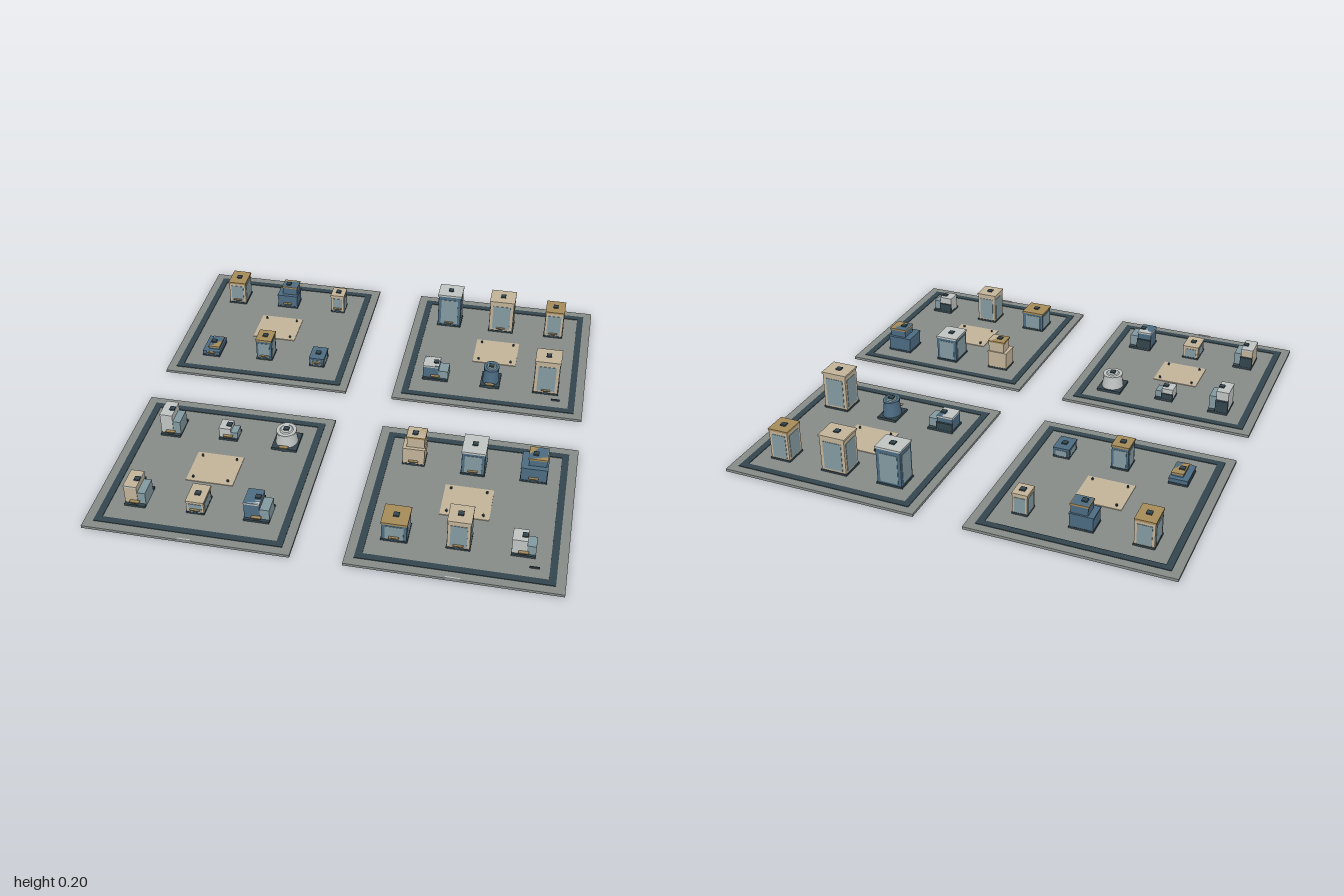
import * as THREE from 'three';

const COLORS = {
  slab: 0x868b88, dark: 0x33454d, blue: 0x4c6b82, glass: 0x839aa1,
  cream: 0xc2b399, gold: 0xa68b59, pale: 0xbfc4c2,
};
const mats = {};
for (const k in COLORS) mats[k] = new THREE.MeshStandardMaterial({ color: COLORS[k], flatShading: true });
const smooth = {};
for (const k of ['blue', 'pale', 'glass']) smooth[k] = new THREE.MeshStandardMaterial({ color: COLORS[k] });

const GROUND = 0.012;

function add(parent, name, geometry, material, x, y, z) {
  const mesh = new THREE.Mesh(geometry, material);
  mesh.name = name;
  mesh.position.set(x, y, z);
  parent.add(mesh);
  return mesh;
}

// Box given by its centre in plan and its bottom height
function box(parent, name, color, w, h, d, x, y, z) {
  return add(parent, name, new THREE.BoxGeometry(w, h, d), mats[color], x, y + h / 2, z);
}

// Walls with a glazed panel on each side
function walls(g, body, w, h, d, x, y, z) {
  box(g, 'walls', body, w, h, d, x, y, z);
  const ph = h * 0.78, py = y + h * 0.1, t = 0.004;
  for (const s of [-1, 1]) {
    box(g, 'windowPanel', 'glass', w * 0.74, ph, t, x, py, z + s * d / 2);
    box(g, 'windowPanel', 'glass', t, ph, d * 0.74, x + s * w / 2, py, z);
  }
}

function vent(g, x, y, z) {
  box(g, 'roofVent', 'dark', 0.024, 0.006, 0.024, x, y, z);
}

// Door and canopy on the front side
function entrance(g, d) {
  box(g, 'door', 'dark', 0.022, 0.022, 0.004, 0, 0, d / 2 + 0.001);
  box(g, 'canopy', 'gold', 0.042, 0.004, 0.016, 0, 0.023, d / 2 + 0.004);
}

// Building types; h is the height above the paving
const TYPES = {
  tower(g, { w, d, h, body, roof }) {
    box(g, 'plinth', 'dark', w, 0.008, d, 0, 0, 0);
    walls(g, body, w * 0.94, h - 0.008, d * 0.94, 0, 0, 0);
    box(g, 'roof', roof, w, 0.009, d, 0, h - 0.009, 0);
    vent(g, 0, h, 0);
    entrance(g, d * 0.94);
  },
  tiered(g, { w, d, h, low, body, roof, uw, ud, ux = 0, uz = 0 }) {
    box(g, 'plinth', 'dark', w, 0.008, d, 0, 0, 0);
    box(g, 'lowerTier', body, w * 0.96, low, d * 0.96, 0, 0, 0);
    box(g, 'terrace', body, w, 0.007, d, 0, low - 0.007, 0);
    box(g, 'upperTier', body, uw * 0.92, h - low, ud * 0.92, ux, low, uz);
    box(g, 'roof', roof, uw, 0.008, ud, ux, h - 0.008, uz);
    vent(g, 0, h, 0);
    entrance(g, d * 0.96);
  },
  winged(g, { w, d, h, body }) {
    const mw = w * 0.64, mx = -w * 0.18;
    box(g, 'plinth', 'dark', w, 0.01, d, 0, 0, 0);
    box(g, 'mainBlock', body, mw * 0.96, h, d * 0.8, mx, 0, 0);
    box(g, 'backPier', 'dark', mw, h * 0.6, d * 0.12, mx, 0, -d * 0.43);
    box(g, 'roof', 'pale', mw, 0.008, d * 0.82, mx, h - 0.008, 0);
    box(g, 'wing', 'glass', w * 0.38, h * 0.68, d * 0.7, w * 0.31, 0, d * 0.03);
    vent(g, 0, h, 0);
    box(g, 'ventFoot', 'dark', 0.02, h * 0.34, 0.02, 0, h * 0.66, 0);
    entrance(g, d * 0.86);
  },
  round(g, { w, d, h, body }) {
    box(g, 'plinth', 'dark', w, 0.012, d, 0, 0, 0);
    const r = w * 0.44, s = d / w;
    const drum = (name, r0, r1, y0, y1, m) =>
      add(g, name, new THREE.CylinderGeometry(r1, r0, y1 - y0, 24), m, 0, (y0 + y1) / 2, 0).scale.z = s;
    drum('drum', r, r * 0.82, 0.012, h - 0.01, smooth[body]);
    drum('domeRim', r * 0.9, r * 0.9, h - 0.012, h - 0.004, smooth[body]);
    drum('domeCap', r * 0.6, r * 0.5, h - 0.004, h, smooth[body === 'blue' ? 'glass' : 'pale']);
    vent(g, 0, h, 0);
    entrance(g, d);
  },
};

const tower = (w, d, h, body, roof) => ({ type: 'tower', w, d, h, body, roof });
const winged = (w, d, h, body) => ({ type: 'winged', w, d, h, body });
const round = (w, d, h, body) => ({ type: 'round', w, d, h, body });
const tiered = (w, d, h, low, body, roof, uw, ud, ux, uz) =>
  ({ type: 'tiered', w, d, h, low, body, roof, uw, ud, ux, uz });

// Six buildings per district: back row then front row, each from -x to +x
const DISTRICTS = [
  { name: 'backRightDistrict', sx: -1, sz: -1, buildings: [
    tower(0.09, 0.115, 0.125, 'cream', 'gold'),
    tiered(0.105, 0.09, 0.115, 0.07, 'blue', 'gold', 0.08, 0.07, 0.01, -0.005),
    tower(0.07, 0.08, 0.1, 'cream', 'cream'),
    tiered(0.085, 0.13, 0.045, 0.028, 'blue', 'gold', 0.055, 0.09, 0.01, 0),
    tower(0.08, 0.09, 0.115, 'blue', 'gold'),
    tower(0.075, 0.1, 0.047, 'blue', 'blue')] },
  { name: 'backLeftDistrict', sx: 1, sz: -1, buildings: [
    tower(0.12, 0.105, 0.182, 'blue', 'pale'),
    tower(0.125, 0.11, 0.178, 'cream', 'cream'),
    tower(0.095, 0.105, 0.15, 'cream', 'gold'),
    winged(0.122, 0.1, 0.075, 'blue'),
    round(0.092, 0.115, 0.09, 'blue'),
    tower(0.122, 0.11, 0.185, 'cream', 'cream')] },
  { name: 'frontRightDistrict', sx: -1, sz: 1, buildings: [
    winged(0.092, 0.125, 0.11, 'pale'),
    winged(0.085, 0.08, 0.06, 'pale'),
    round(0.115, 0.125, 0.078, 'pale'),
    winged(0.092, 0.13, 0.1, 'cream'),
    tower(0.08, 0.115, 0.066, 'cream', 'cream'),
    winged(0.11, 0.115, 0.092, 'blue')] },
  { name: 'frontLeftDistrict', sx: 1, sz: 1, buildings: [
    tiered(0.1, 0.09, 0.146, 0.09, 'cream', 'gold', 0.085, 0.075, 0.006, -0.005),
    tower(0.107, 0.125, 0.127, 'blue', 'pale'),
    tiered(0.118, 0.115, 0.115, 0.075, 'blue', 'gold', 0.085, 0.085, 0.012, -0.005),
    tower(0.112, 0.115, 0.098, 'blue', 'gold'),
    tower(0.1, 0.105, 0.152, 'cream', 'cream'),
    winged(0.1, 0.085, 0.082, 'pale')] },
];

// Square loop road, a thin extruded frame
function roadGeometry() {
  const square = (r, Type) => new Type([[-r, -r], [r, -r], [r, r], [-r, r]].map(p => new THREE.Vector2(...p)));
  const shape = square(0.406, THREE.Shape);
  shape.holes.push(square(0.376, THREE.Path));
  return new THREE.ExtrudeGeometry(shape, { depth: 0.003, bevelEnabled: false }).rotateX(-Math.PI / 2);
}

function district({ name, sx, sz, buildings }) {
  const g = new THREE.Group();
  g.name = name;
  g.position.set(sx * 0.555, 0, sz * 0.555);
  box(g, 'slab', 'slab', 0.89, GROUND, 0.89, 0, 0, 0);
  add(g, 'loopRoad', roadGeometry(), mats.dark, 0, GROUND, 0);

  // Central plaza with corner posts
  box(g, 'plaza', 'cream', 0.21, 0.003, 0.19, 0, GROUND, -0.008);
  for (const x of [-0.078, 0.078]) for (const z of [-0.08, 0.064]) {
    add(g, 'plazaPost', new THREE.CylinderGeometry(0.005, 0.005, 0.012, 8), mats.dark, x, GROUND + 0.006, z);
  }
  // Small plate at the front edge, bench on the left-hand side
  if (sz > 0) box(g, 'edgePlate', 'pale', 0.06, 0.003, 0.008, 0, GROUND, 0.441);
  if (sx > 0) box(g, 'bench', 'dark', 0.04, 0.008, 0.005, 0.315, GROUND, 0.322);

  buildings.forEach((spec, i) => {
    const b = new THREE.Group();
    b.name = spec.type + 'Building';
    b.position.set((i % 3 - 1) * 0.264, GROUND, i < 3 ? -0.247 : 0.227);
    TYPES[spec.type](b, spec);
    g.add(b);
  });
  return g;
}

export function createModel() {
  const model = new THREE.Group();
  model.name = 'cityDistricts';
  for (const d of DISTRICTS) model.add(district(d));
  return model;
}
